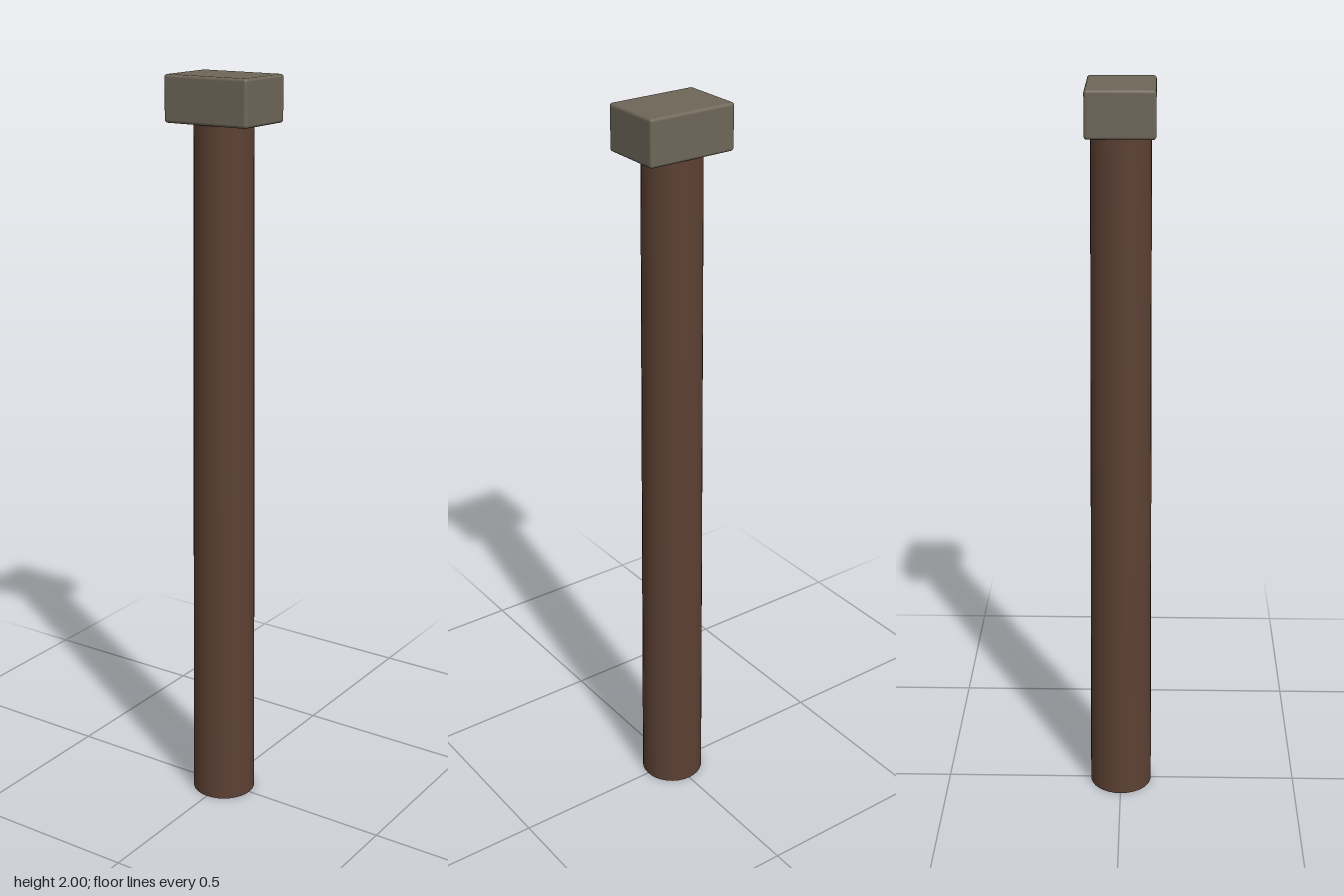
import * as THREE from 'three';
import { RoundedBoxGeometry } from 'three/addons/geometries/RoundedBoxGeometry.js';

export function createModel() {
  const group = new THREE.Group();
  const wood = new THREE.MeshStandardMaterial({ color: 0x5c4033 });
  wood.name = 'brown wood';
  const stone = new THREE.MeshStandardMaterial({ color: 0x6e6658 });
  stone.name = 'grey stone';

  const headHeight = 0.12;
  const headBottom = 2 - headHeight;

  // Tapered round handle, reaching slightly into the head
  const handleHeight = headBottom + 0.01;
  const handle = new THREE.Mesh(
    new THREE.CylinderGeometry(0.077, 0.087, handleHeight, 32), wood);
  handle.name = 'handle';
  handle.position.y = handleHeight / 2;

  // Block head with softened edges
  const head = new THREE.Mesh(
    new RoundedBoxGeometry(0.248, headHeight, 0.176, 3, 0.008), stone);
  head.name = 'head';
  head.position.y = headBottom + headHeight / 2;

  group.add(handle, head);
  return group;
}
